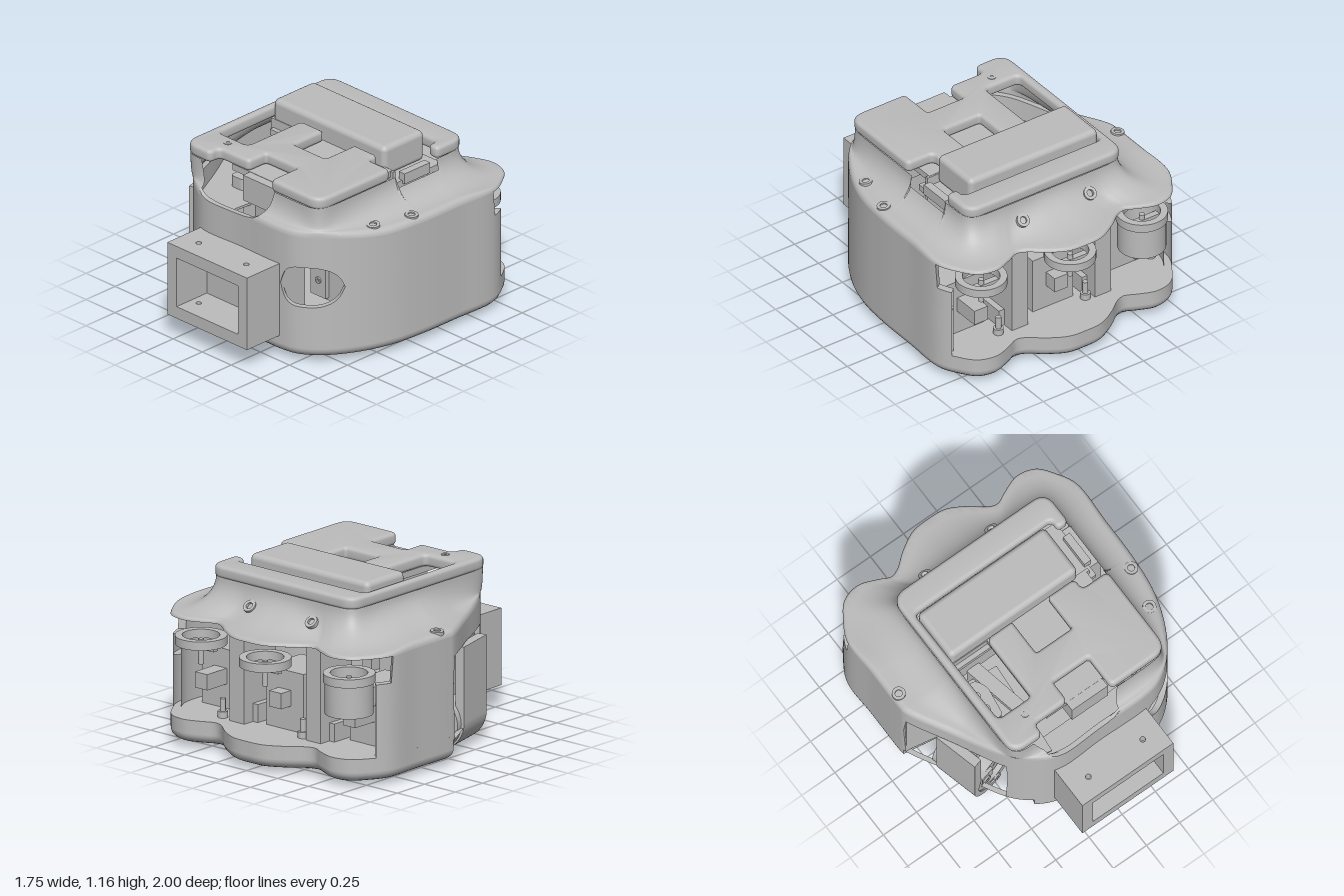
import * as THREE from 'three';
import { toCreasedNormals } from 'three/addons/utils/BufferGeometryUtils.js';
import { RoundedBoxGeometry } from 'three/addons/geometries/RoundedBoxGeometry.js';

const grey = new THREE.MeshStandardMaterial({ color: 0xbcbcbc, side: THREE.DoubleSide });
grey.name = 'plain grey';

function add(parent, name, geo, x = 0, y = 0, z = 0) {
  const mesh = new THREE.Mesh(geo, grey);
  mesh.name = name;
  mesh.position.set(x, y, z);
  parent.add(mesh);
  return mesh;
}
// Box given by its limits
function block(parent, name, x0, x1, y0, y1, z0, z1) {
  return add(parent, name, new THREE.BoxGeometry(x1 - x0, y1 - y0, z1 - z0), (x0 + x1) / 2, (y0 + y1) / 2, (z0 + z1) / 2);
}
// Closed plan shape from [x, z, own radius] points, with optional corner rounding
function plan(pts, radius = 0) {
  const s = new THREE.Shape(), v = pts.map(([x, z]) => new THREE.Vector2(x, -z)), n = v.length;
  v.forEach((p, i) => {
    const r = pts[i][2] ?? radius;
    const toward = q => p.clone().add(q.clone().sub(p).setLength(Math.min(r, q.distanceTo(p) * 0.45)));
    const a = r ? toward(v[(i + n - 1) % n]) : p, b = r ? toward(v[(i + 1) % n]) : p;
    i ? s.lineTo(a.x, a.y) : s.moveTo(a.x, a.y);
    if (r) s.quadraticCurveTo(p.x, p.y, b.x, b.y);
  });
  s.closePath();
  return s;
}
// Horizontal slab from y0 to y1 with an optional rounded edge
function slab(shape, y0, y1, bevel = 0) {
  const g = new THREE.ExtrudeGeometry(shape, {
    depth: y1 - y0 - 2 * bevel, bevelEnabled: bevel > 0, bevelSize: bevel, bevelThickness: bevel,
    bevelOffset: -bevel, bevelSegments: 5, curveSegments: 8 });
  g.rotateX(-Math.PI / 2).translate(0, y0 + bevel, 0);
  return toCreasedNormals(g, 0.6);
}
// Surface through rows of points
function skin(rows, closeAcross, closeAlong) {
  const m = rows[0].length, pos = [], idx = [];
  rows.forEach(row => row.forEach(p => pos.push(...p)));
  for (let i = 0; i < rows.length - (closeAlong ? 0 : 1); i++)
    for (let j = 0; j < m - (closeAcross ? 0 : 1); j++) {
      const k = (i + 1) % rows.length, l = (j + 1) % m;
      const a = i * m + j, b = i * m + l, c = k * m + l, d = k * m + j;
      idx.push(a, b, c, a, c, d);
    }
  const g = new THREE.BufferGeometry();
  g.setAttribute('position', new THREE.Float32BufferAttribute(pos, 3));
  g.setIndex(idx);
  return toCreasedNormals(g, 0.6);
}
// Hollow upright ring
function ring(ro, ri, y0, y1) {
  const p = [[ri, y0], [ro, y0], [ro, y1], [ri, y1], [ri, y0]].map(q => new THREE.Vector2(...q));
  return toCreasedNormals(new THREE.LatheGeometry(p, 40), 0.6);
}

const OUTLINE = [
  [0, -1], [0.12, -0.99], [0.25, -0.92], [0.34, -0.85], [0.4, -0.83], [0.48, -0.865], [0.6, -0.905], [0.72, -0.875],
  [0.8, -0.78], [0.865, -0.65], [0.865, -0.35], [0.86, -0.05], [0.83, 0.2], [0.75, 0.42], [0.63, 0.6], [0.5, 0.695], [0.38, 0.72],
  [0.05, 0.72], [-0.28, 0.72], [-0.44, 0.635], [-0.54, 0.53], [-0.7, 0.23], [-0.86, -0.07], [-0.865, -0.12], [-0.865, -0.4], [-0.865, -0.65],
  [-0.8, -0.78], [-0.72, -0.875], [-0.6, -0.905], [-0.48, -0.865], [-0.4, -0.83], [-0.34, -0.85], [-0.25, -0.92], [-0.12, -0.99]];
const curve = new THREE.CatmullRomCurve3(OUTLINE.map(([x, z]) => new THREE.Vector3(x, 0, z)), true);
const rim = curve.getSpacedPoints(400).slice(0, 400);
const { smoothstep } = THREE.MathUtils;
const lipY = z => 0.835 + 0.025 * smoothstep(z, -0.8, -0.4) + 0.035 * smoothstep(z, 0.2, 0.65);
const lipR = z => 0.02 + 0.02 * smoothstep(z, -0.8, -0.4);
// Height of the shell cut at the front opening and the side notch
function cutY(p) {
  const u = Math.abs(p.x + 0.07) / 0.335;
  if (p.z > 0.5 && u < 1) return 0.85 + 0.19 * (1 - Math.sqrt(1 - u ** 4));
  return p.x > 0.5 && p.z > -0.56 && p.z < -0.06 ? 0.97 : 1.04;
}

// Upper shell: rounded lip, then a concave rise to the cap
function shellRow(p) {
  const cx = 0.04, cz = -0.01, dx = p.x - cx, dz = p.z - cz, y0 = lipY(p.z), y1 = 1.04, r = lipR(p.z), top = cutY(p);
  const k = (Math.abs(dx / 0.58) ** 14 + Math.abs(dz / 0.63) ** 14) ** (-1 / 14);
  const f0 = Math.min(0.25, r / (Math.hypot(dx, dz) * Math.abs(1 - k) + 0.001));
  const tMax = Math.acos(1 - Math.max(top - y0, 0) / (y1 - y0)), row = [];
  const put = (f, y) => row.push([p.x + (cx + dx * k - p.x) * f, Math.min(y, top), p.z + (cz + dz * k - p.z) * f]);
  for (let j = 0; j < 5; j++) {
    const a = j / 5 * Math.PI / 2;
    put(f0 * (1 - Math.cos(a)), y0 - r + r * Math.sin(a));
  }
  for (let j = 0; j <= 12; j++) {
    const t = tMax * j / 12;
    put(f0 + (1 - f0) * Math.sin(t), y0 + (y1 - y0) * (1 - Math.cos(t)));
  }
  return row;
}

function buildHull(g) {
  // Bottom tray with a corner cut away for the thumb
  const tray = rim.filter((p, i) => i % 2 === 0 && !(p.x < -0.42 && p.z > -0.06)).map(p => [p.x, p.z]);
  tray.splice(tray.findIndex(p => p[0] < -0.8 && p[1] < 0), 0, [-0.27, 0.02]);
  add(g, 'trayFloor', slab(plan(tray), 0.035, 0.175, 0.065));
  add(g, 'trayRim', slab(plan(tray), 0.1, 0.185));

  // Side walls, open at the back and at the thumb, split around the round window
  const wall = rim.filter(p => p.z > -0.75);
  const span = (p, upper) => {
    const u = p.z > 0.2 ? Math.abs(p.x - 0.555) / 0.155 : 1, h = u < 1 ? 0.135 * Math.sqrt(1 - u ** 3) : 0;
    const thumb = p.x < -0.53 && p.z > -0.06;
    const lo = upper ? (thumb ? 0.69 : 0.515 + h) : 0.16;
    const hi = upper ? (p.z < -0.65 ? 0.65 : Math.min(lipY(p.z) - lipR(p.z), cutY(p))) : (thumb ? 0.16 : 0.515 - h);
    const q = [p.x * 0.955, p.z * 0.955];
    return [[p.x, lo, p.z], [p.x, hi, p.z], [q[0], hi, q[1]], [q[0], lo, q[1]]];
  };
  add(g, 'upperWall', skin(wall.map(p => span(p, true)), true, false));
  add(g, 'lowerWall', skin(wall.map(p => span(p, false)), true, false));
  add(g, 'upperShell', skin(rim.map(shellRow), false, true));
  const lip = rim.filter(p => p.z < -0.45).map(p => [p.x * 0.99, p.z * 0.99]);
  lip.sort((a, b) => Math.atan2(a[0], -a[1]) - Math.atan2(b[0], -b[1]));
  add(g, 'lipUnderside', slab(plan(lip), 0.812, 0.822));

  // Inner walls and ceiling around the thumb
  add(g, 'thumbBayWall', slab(plan([[-0.85, -0.1], [-0.27, 0], [-0.44, 0.6], [-0.47, 0.59], [-0.31, 0.04], [-0.85, -0.06]]), 0.16, 0.7));
  add(g, 'thumbBayCeiling', slab(plan([[-0.83, -0.08], [-0.2, -0.02], [-0.25, 0.62], [-0.43, 0.6], [-0.53, 0.51]]), 0.69, 0.705));

  // Screw sockets on the shell and under the tray
  for (const [x, y, z, tx, tz] of [[-0.25, 0.925, -0.69, -0.75, 0], [0.25, 0.925, -0.69, -0.75, 0], [-0.82, 0.864, -0.18, 0, 0.1],
    [0.8, 0.864, 0, 0, -0.1], [0.74, 0.872, 0.27, 0.1, -0.1]]) {
    const socket = add(g, 'screwSocket', ring(0.042, 0.022, -0.02, 0.006), x, y, z);
    socket.rotation.set(tx, 0, tz);
  }
  for (const [x, z] of [[0.56, -0.29], [-0.06, -0.42], [-0.68, -0.37], [0.46, 0.6], [-0.1, 0.61], [-0.33, 0.58]])
    add(g, 'baseScrew', ring(0.03, 0.015, 0, 0.02), x, 0.032, z);
}

function buildCap(g) {
  // Frame and T-shaped panel as one rounded plate
  const cap = [[-0.54, -0.64, 0.1], [0.62, -0.64, 0.1], [0.62, -0.4], [0.54, -0.4], [0.54, -0.47], [-0.49, -0.47], [-0.48, 0.38],
    [-0.23, 0.38], [-0.23, -0.08], [-0.04, -0.08, 0.02], [-0.04, 0.17, 0.02], [0.23, 0.17, 0.02], [0.23, -0.08, 0.02], [0.43, -0.08], [0.43, 0], [0.62, 0],
    [0.62, 0.615, 0.1], [0.2, 0.615], [0.2, 0.38, 0.02], [-0.07, 0.38, 0.02], [-0.07, 0.53], [-0.32, 0.53], [-0.32, 0.615], [-0.54, 0.615, 0.1]];
  add(g, 'topPlate', slab(plan(cap, 0.04), 1.03, 1.11, 0.024));
  block(g, 'topDeck', -0.22, 0.53, 0.99, 1.032, -0.1, 0.52);
  block(g, 'frontDeck', -0.07, 0.2, 0.86, 1.03, 0.36, 0.58);
  block(g, 'pitFloor', -0.48, 0.58, 0.93, 0.97, -0.48, -0.06);
  block(g, 'pitWall', -0.5, 0.55, 0.69, 1.03, -0.11, -0.09);
  add(g, 'raisedBlock', new RoundedBoxGeometry(0.96, 0.2, 0.35, 4, 0.035), -0.01, 1.062, -0.27);
  block(g, 'notchRail', 0.55, 0.6, 0.95, 1.02, -0.36, -0.14);
  add(g, 'plateScrew', ring(0.026, 0.012, 0, 0.004), -0.33, 1.11, 0.45);
}

function buildWrist(g) {
  // Hollow square socket with drilled top and bottom
  const plate = plan([[-0.3, 0.5], [0.385, 0.5], [0.385, 1], [-0.3, 1]]);
  for (const x of [-0.16, 0.25]) plate.holes.push(new THREE.Path().absarc(x, -0.87, 0.018, 0, Math.PI * 2));
  add(g, 'wristBottom', slab(plate, 0.15, 0.23));
  add(g, 'wristTop', slab(plate, 0.56, 0.64));
  block(g, 'wristSide', -0.3, -0.22, 0.23, 0.56, 0.5, 1);
  block(g, 'wristSide', 0.31, 0.385, 0.23, 0.56, 0.5, 1);
  block(g, 'wristBack', -0.22, 0.31, 0.23, 0.56, 0.7, 0.74);
  for (const x of [-0.13, 0.12])
    for (const r of [0.045, 0.02]) add(g, 'wristScrew', ring(r, r * 0.6, 0, 0.008), x, 0.47, 0.74).rotation.x = Math.PI / 2;
  // Pocket and tab behind the round window
  block(g, 'windowPocket', 0.38, 0.7, 0.34, 0.68, 0.42, 0.44);
  block(g, 'windowTab', 0.4, 0.53, 0.36, 0.66, 0.44, 0.47);
  for (const y of [0.47, 0.58]) add(g, 'windowScrew', ring(0.022, 0.01, 0, 0.01), 0.47, y, 0.47).rotation.x = Math.PI / 2;
}

function buildKnuckles(g) {
  for (const [x, z] of [[-0.6, -0.74], [0, -0.83], [0.6, -0.74]]) {
    const k = new THREE.Group();
    k.name = 'knuckle';
    k.position.set(x, 0, z);
    g.add(k);
    add(k, 'knuckleFlange', ring(0.16, 0.115, 0.63, 0.685));
    if (x < 0) add(k, 'knuckleDrum', ring(0.15, 0.12, 0.43, 0.63));
    add(k, 'knuckleAxle', new THREE.CylinderGeometry(0.018, 0.018, 0.16, 16), 0, 0.58, 0);
    block(k, 'knuckleSpoke', -0.12, 0.12, 0.6, 0.625, -0.02, 0.02);
    block(k, 'servoArm', -0.05, 0.05, 0.34, 0.44, x ? 0 : 0.09, 0.2);
    block(k, 'servoBody', -0.15, 0.15, 0.17, 0.56, 0.18, 0.5);
  }
  for (const s of [-1, 1]) {
    block(g, 'divider', s * 0.31 - 0.06, s * 0.31 + 0.06, 0.16, 0.815, -0.74, -0.45);
    block(g, 'dividerFoot', s * 0.31 - 0.1, s * 0.31 + 0.1, 0.16, 0.3, -0.66, -0.45);
  }
  // Screw posts on the tray
  for (const [x, z] of [[0.45, -0.71], [-0.2, -0.71], [-0.78, -0.58]]) {
    add(g, 'standoffBase', new THREE.CylinderGeometry(0.032, 0.032, 0.05, 16), x, 0.2, z);
    add(g, 'standoff', new THREE.CylinderGeometry(0.018, 0.018, 0.13, 16), x, 0.24, z);
  }
}

function buildThumb(g) {
  // Drum, curved bracket and mount, turned to follow the diagonal side
  const t = new THREE.Group();
  t.name = 'thumb';
  t.position.set(-0.54, 0, 0.2);
  t.rotation.y = 0.25;
  g.add(t);
  add(t, 'thumbDrum', ring(0.18, 0.12, -0.17, 0.17), 0, 0.185, 0).rotation.x = Math.PI / 2;
  add(t, 'thumbHub', ring(0.1, 0.04, -0.12, 0.14), 0, 0.185, 0).rotation.x = Math.PI / 2;
  const s = new THREE.Shape();
  s.moveTo(-0.2, 0.68);
  s.lineTo(-0.2, 0.2);
  s.absarc(0, 0.2, 0.2, Math.PI, Math.PI * 1.5, false);
  s.lineTo(0, 0.04);
  s.absarc(0, 0.2, 0.16, Math.PI * 1.5, Math.PI, true);
  s.lineTo(-0.14, 0.3);
  s.lineTo(-0.14, 0.68);
  const bracket = new THREE.ExtrudeGeometry(s, { depth: 0.3, bevelEnabled: false, curveSegments: 20 }).translate(0, 0, -0.12);
  add(t, 'thumbBracket', toCreasedNormals(bracket, 0.6));
  block(t, 'thumbMount', -0.14, 0.02, 0.6, 0.69, -0.1, 0.14);
  block(t, 'thumbServo', -0.09, 0.1, 0.34, 0.6, -0.15, 0.08);
  block(t, 'thumbLug', -0.14, -0.04, 0.25, 0.34, 0.08, 0.19);
  for (const [x, y, z] of [[-0.06, 0.65, 0.14], [-0.1, 0.28, 0.19], [0.02, 0.035, 0.17]])
    add(t, 'thumbScrew', ring(0.028, 0.012, 0, 0.012), x, y, z).rotation.x = Math.PI / 2;
  // Servo plate and beam seen through the top opening
  add(g, 'servoPlate', slab(plan([[-0.48, 0], [-0.38, 0], [-0.34, 0.08], [-0.37, 0.28], [-0.48, 0.28]], 0.03), 0.7, 0.78));
  for (const z of [0.09, 0.19]) add(g, 'servoScrew', ring(0.024, 0.01, 0, 0.01), -0.43, 0.78, z);
  block(g, 'innerBeam', -0.33, -0.24, 0.16, 0.74, -0.1, 0.36).rotation.y = 0.2;
}

export function createModel() {
  const g = new THREE.Group();
  g.name = 'palmHousing';
  buildHull(g);
  buildCap(g);
  buildWrist(g);
  buildKnuckles(g);
  buildThumb(g);
  return g;
}
